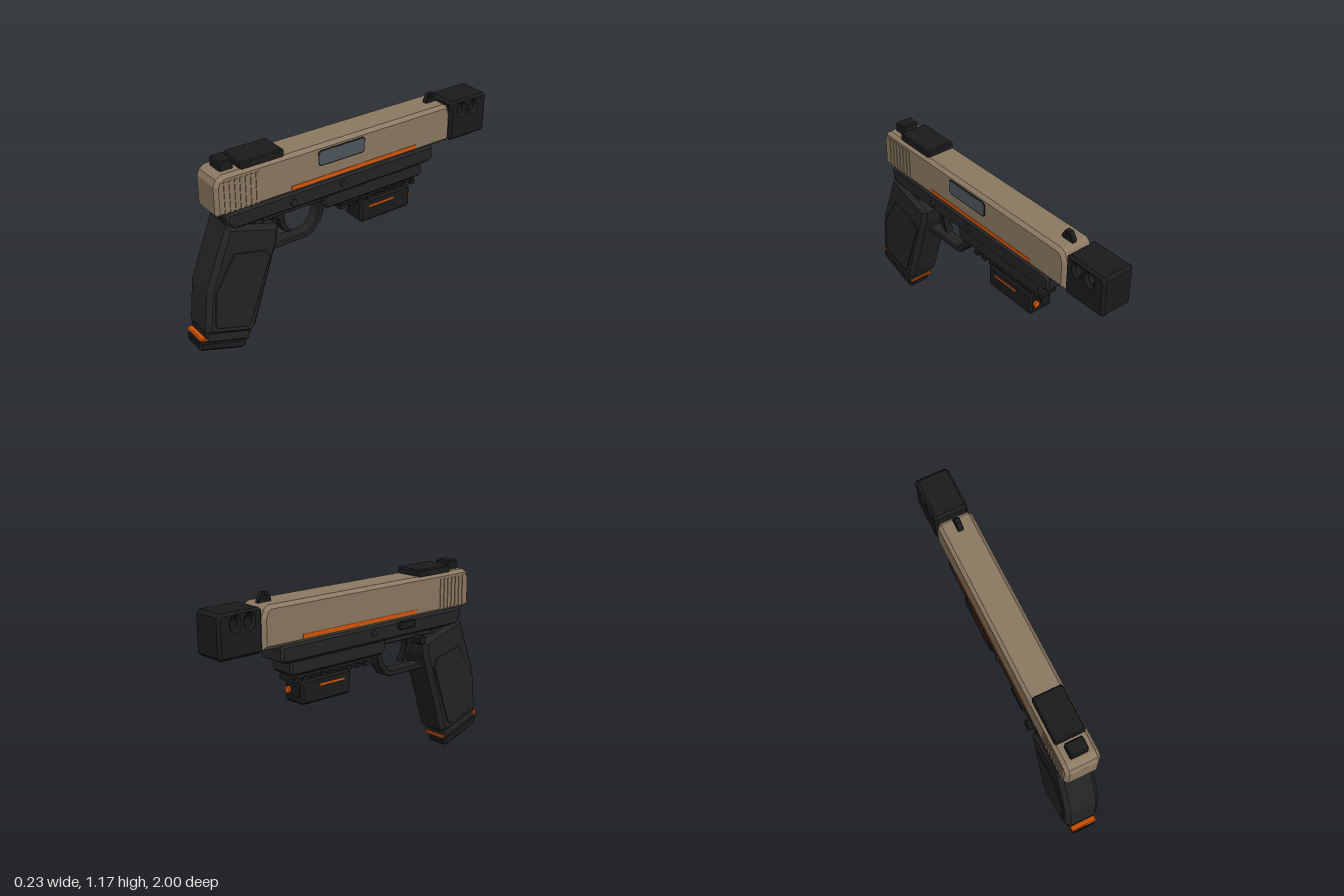
import * as THREE from 'three';

const mat = (name, color) => {
  const m = new THREE.MeshStandardMaterial({ color });
  m.name = name;
  return m;
};

export function createModel() {
  const tan = mat('tan', 0x8c7962);
  const dark = mat('charcoal', 0x242424);
  const black = mat('black', 0x1b1b1b);
  const orange = mat('orange', 0xdc5708);
  const steel = mat('steel', 0x4d565c);
  const root = new THREE.Group();
  root.name = 'sidearm';

  const add = (name, geo, material, x = 0, y = 0, z = 0) => {
    const m = new THREE.Mesh(geo, material);
    m.name = name;
    m.position.set(x, y, z);
    root.add(m);
    return m;
  };

  // Side outline given as [z, y] points, extruded across x with chamfered edges
  const slab = (name, pts, halfW, bevel, material, x = 0, holes = []) => {
    const shape = new THREE.Shape(pts.map(p => new THREE.Vector2(p[0], p[1])));
    shape.holes.push(...holes);
    const geo = new THREE.ExtrudeGeometry(shape, {
      depth: 2 * (halfW - bevel), bevelEnabled: bevel > 0, bevelThickness: bevel,
      bevelSize: bevel, bevelOffset: -bevel, bevelSegments: 1, curveSegments: 10,
    });
    geo.translate(0, 0, -(halfW - bevel));
    geo.rotateY(-Math.PI / 2);
    return add(name, geo, material, x);
  };
  const rect = (z0, z1, y0, y1, c = 0.008) => [
    [z0 + c, y0], [z1 - c, y0], [z1, y0 + c], [z1, y1 - c],
    [z1 - c, y1], [z0 + c, y1], [z0, y1 - c], [z0, y0 + c],
  ];
  const box = (name, w, h, d, material, x, y, z) =>
    add(name, new THREE.BoxGeometry(w, h, d), material, x, y, z);
  const ovalHole = (z, y, rz, ry) => new THREE.Path().absellipse(z, y, rz, ry, 0, Math.PI * 2, true);

  // Upper slide
  slab('slide', [[0.845, 0.89], [0.86, 0.905], [0.86, 1.07], [0.845, 1.105], [0.81, 1.125],
    [-0.675, 1.125], [-0.7, 1.108], [-0.72, 1.06], [-0.72, 0.89]], 0.102, 0.02, tan);
  for (const s of [-1, 1]) {
    for (let i = 0; i < 7; i++) {
      box('slideRib', 0.008, 0.185, 0.018, tan, s * 0.102, 0.998, 0.61 + i * 0.032);
    }
    box('slideStripe', 0.006, 0.022, 0.86, orange, s * 0.102, 0.926, -0.03);
  }

  // Side port: shadowed rim, steel inset
  slab('portRim', rect(-0.09, 0.225, 1.0, 1.095, 0.014), 0.002, 0, black, 0.102);
  slab('portInset', rect(-0.084, 0.219, 1.008, 1.088, 0.012), 0.002, 0, steel, 0.1035);

  // Muzzle block with through vents
  slab('muzzleBlock', rect(-1, -0.722, 0.88, 1.125, 0.018), 0.1, 0.015, black, 0,
    [ovalHole(-0.805, 1.065, 0.022, 0.034), ovalHole(-0.895, 1.065, 0.022, 0.034)]);

  // Top plate and sights
  slab('topPlate', rect(0.43, 0.7, 1.115, 1.163), 0.088, 0.007, black);
  slab('rearSight', rect(0.72, 0.8, 1.115, 1.178), 0.052, 0.006, black);
  slab('frontSight', [[-0.6, 1.115], [-0.6, 1.14], [-0.622, 1.178], [-0.655, 1.178],
    [-0.68, 1.14], [-0.68, 1.115]], 0.016, 0.003, black, 0, [ovalHole(-0.639, 1.152, 0.01, 0.01)]);

  // Lower frame, stepping inward towards the rail
  slab('frame', [[0.79, 0.893], [0.805, 0.87], [0.795, 0.83], [0.76, 0.79], [-0.57, 0.79],
    [-0.6, 0.805], [-0.6, 0.875], [-0.585, 0.893]], 0.098, 0.014, dark);
  slab('dustCover', [[0.175, 0.8], [0.175, 0.735], [0.15, 0.708], [-0.51, 0.708],
    [-0.53, 0.725], [-0.53, 0.8]], 0.084, 0.012, dark);
  slab('frameNeck', [[0.78, 0.83], [0.575, 0.83], [0.56, 0.7], [0.7, 0.7]], 0.075, 0.008, dark);
  box('rail', 0.11, 0.04, 0.55, black, 0, 0.695, -0.22);
  for (let i = 0; i < 9; i++) box('railTooth', 0.13, 0.025, 0.032, black, 0, 0.673, 0.035 - i * 0.064);

  // Trigger guard and trigger
  slab('triggerGuard', [[0.56, 0.545], [0.255, 0.545], [0.215, 0.56], [0.165, 0.625], [0.148, 0.68],
    [0.148, 0.76], [0.182, 0.76], [0.184, 0.69], [0.198, 0.64], [0.235, 0.592], [0.265, 0.58],
    [0.56, 0.58]], 0.042, 0.007, dark);
  slab('guardTop', rect(0.15, 0.6, 0.755, 0.8), 0.06, 0.006, dark);
  slab('trigger', [[0.48, 0.77], [0.475, 0.715], [0.44, 0.715], [0.435, 0.675], [0.41, 0.63],
    [0.385, 0.61], [0.36, 0.612], [0.385, 0.65], [0.4, 0.7], [0.4, 0.77]], 0.025, 0.004, black);

  // Grip with raised side panels
  slab('grip', [[0.8, 0.828], [0.775, 0.82], [0.5, 0.735], [0.478, 0.715], [0.49, 0.64], [0.655, 0.13],
    [0.685, 0.105], [0.945, 0.19], [0.965, 0.22], [0.938, 0.47]], 0.104, 0.026, dark);
  for (const s of [-1, 1]) {
    slab('gripPanel', [[0.775, 0.655], [0.58, 0.61], [0.555, 0.56], [0.69, 0.18], [0.715, 0.165],
      [0.9, 0.225], [0.915, 0.25], [0.9, 0.45]], 0.005, 0.004, dark, s * 0.105);
  }

  // Grip foot: collar, orange band, base pad
  slab('gripCollar', [[0.965, 0.21], [0.96, 0.14], [0.695, 0.055], [0.68, 0.13]], 0.085, 0.01, dark);
  slab('orangeBand', [[0.99, 0.177], [0.995, 0.16], [0.69, 0.062], [0.685, 0.08]], 0.08, 0.004, orange);
  slab('basePad', [[1.0, 0.152], [0.998, 0.1], [0.985, 0.088], [0.735, 0.003], [0.715, 0.008],
    [0.7, 0.058]], 0.074, 0.013, black);

  // Accessory module under the rail
  slab('lampBody', rect(-0.45, -0.088, 0.527, 0.668, 0.014), 0.075, 0.012, black);
  for (const s of [-1, 1]) box('lampStripe', 0.004, 0.011, 0.18, orange, s * 0.076, 0.624, -0.235);
  const disc = (name, r, len, material, x, y, z, alongX) => {
    const g = new THREE.CylinderGeometry(r, r, len, 20);
    if (alongX) g.rotateZ(Math.PI / 2); else g.rotateX(Math.PI / 2);
    return add(name, g, material, x, y, z);
  };
  disc('lampLens', 0.032, 0.014, black, -0.025, 0.597, -0.453, false);
  disc('lampKnob', 0.02, 0.016, orange, 0.04, 0.597, -0.454, false);

  // Pins and side controls
  disc('crossPin', 0.018, 0.22, dark, 0, 0.85, 0.06, true);
  disc('rearPin', 0.02, 0.03, dark, 0.098, 0.838, 0.39, true);
  slab('slideLever', rect(0.25, 0.39, 0.84, 0.885, 0.012), 0.012, 0.004, black, -0.103);
  slab('sideButton', rect(0.42, 0.475, 0.72, 0.77, 0.012), 0.035, 0.005, black, -0.083);

  return root;
}
